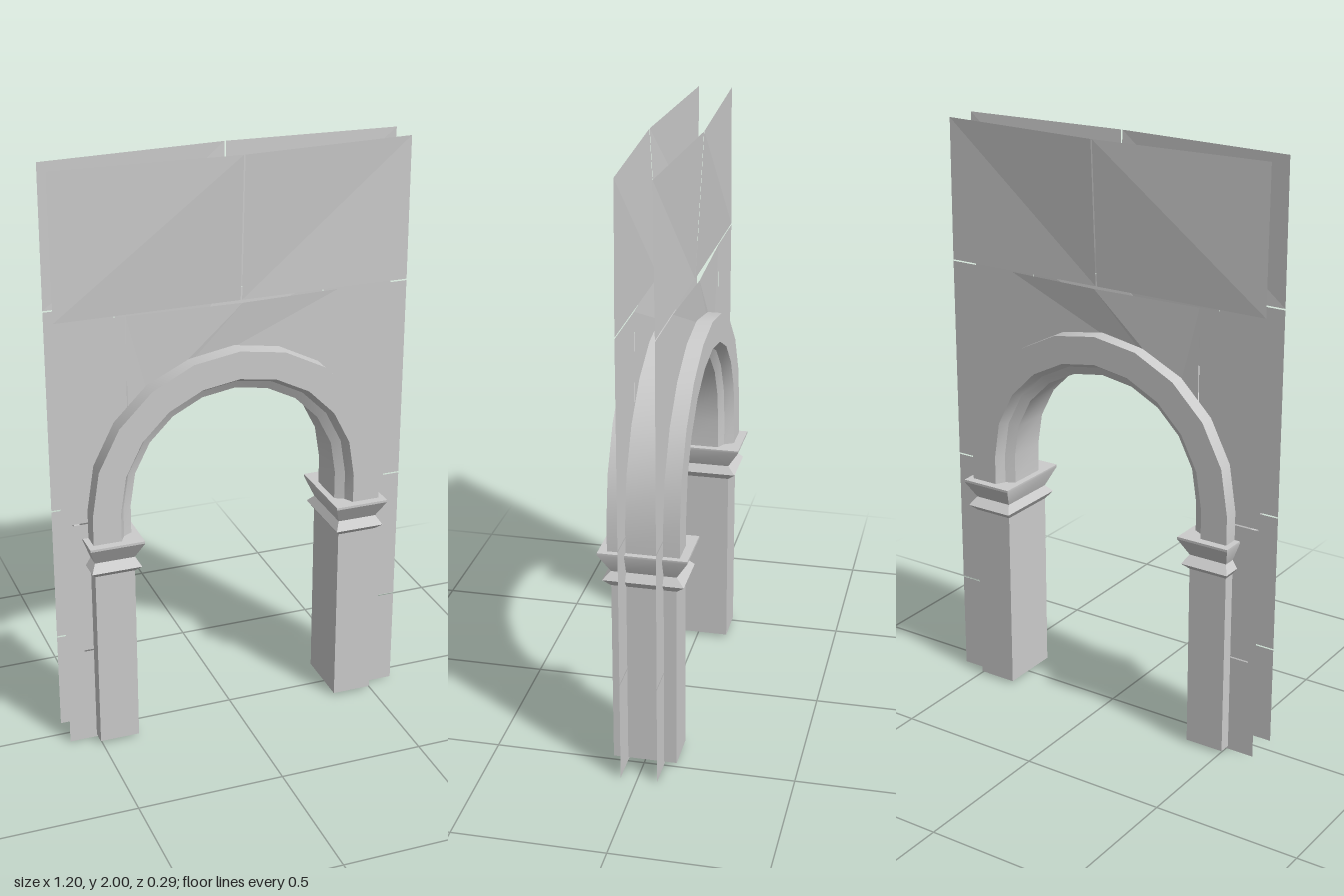
import * as THREE from 'three';
import { toCreasedNormals } from 'three/addons/utils/BufferGeometryUtils.js';

const material = new THREE.MeshStandardMaterial({ color: 0xcccccc, side: THREE.DoubleSide });
const CX = -0.006;   // axis of the arch and pillars
const CY = 0.865;    // centre height of the arch curve
const CZ = -0.002;

function addMesh(parent, geometry, name) {
  const mesh = new THREE.Mesh(geometry, material);
  mesh.name = name;
  parent.add(mesh);
  return mesh;
}

// Skin a list of closed cross-sections, keeping sharp corners
function loft(sections, crease = 0.4) {
  const n = sections[0].length;
  const index = [];
  for (let i = 0; i < sections.length - 1; i++) {
    for (let j = 0; j < n; j++) {
      const a = i * n + j, b = i * n + (j + 1) % n;
      index.push(a, b, b + n, a, b + n, a + n);
    }
  }
  const geometry = new THREE.BufferGeometry();
  geometry.setAttribute('position', new THREE.Float32BufferAttribute(sections.flat(2), 3));
  geometry.setIndex(index);
  return toCreasedNormals(geometry, crease);
}

// Square pillar with bead and flared capital
function pillarGeometry() {
  const levels = [ // y, half width, half depth
    [0.01, 0.068, 0.106], [0.645, 0.068, 0.106], [0.668, 0.085, 0.132],
    [0.695, 0.068, 0.106], [0.758, 0.0925, 0.145], [0.766, 0.0925, 0.145], [0.766, 0, 0],
  ];
  return loft(levels.map(([y, w, d]) => [[-w, y, d], [w, y, d], [w, y, -d], [-w, y, -d]]));
}

// Stilted round arch with a stepped, chamfered inner edge
function archGeometry() {
  const half = [[0.362, 0.068], [0.392, 0.085], [0.41, 0.117], [0.505, 0.117]];
  const profile = [...half, ...half.map(([r, z]) => [r, -z]).reverse()];
  const stations = [[0, 0.76]];
  const segments = 10;
  for (let i = 0; i <= segments; i++) stations.push([Math.PI * i / segments, CY]);
  stations.push([Math.PI, 0.76]);
  return loft(stations.map(([t, y]) =>
    profile.map(([r, z]) => [r * Math.cos(t), y + r * Math.sin(t), z])), 0.5);
}

// Flat outline whose points are pushed out by a depth rule
function panelGeometry(points, depth) {
  const shape = new THREE.Shape(points.map(([x, y]) => new THREE.Vector2(x, y)));
  const geometry = new THREE.ShapeGeometry(shape).toNonIndexed();
  const p = geometry.attributes.position;
  for (let i = 0; i < p.count; i++) p.setZ(i, depth(p.getX(i), p.getY(i)));
  geometry.computeVertexNormals();
  return geometry;
}

// Points along the wall opening, hidden behind the arch ring
function openingArc(from, to, steps) {
  const points = [];
  for (let i = 0; i <= steps; i++) {
    const t = from + (to - from) * i / steps;
    points.push([CX + 0.46 * Math.cos(t), CY + 0.46 * Math.sin(t)]);
  }
  return points;
}

function createWall(name, baseZ, sign) {
  const wall = new THREE.Group();
  wall.name = name;
  const gap = 0.0025, seam = 0.02, edge = 0.6, top = 2, mid = 1.518;
  const flat = () => baseZ;

  // Upper slabs lean outwards where they meet at the top
  const lean = (x, y) => {
    if (y < 1.8) return baseZ;
    return baseZ + sign * (Math.abs(x - seam) < 0.05 ? 0.026 : -0.004);
  };
  for (const s of [-1, 1]) {
    const inner = seam + s * gap, outer = s * edge;
    addMesh(wall, panelGeometry(
      [[inner, mid + gap], [outer, mid + gap], [outer, top], [inner, top]], lean), 'upperSlab');
  }

  // Slab over the arch, its top edge bulging at the middle
  const bulge = (x, y) => baseZ + (Math.abs(x - seam) < 0.05 && y > 1.5 ? sign * 0.014 : 0);
  const split = Math.acos(0.36 / 0.46);
  const arc = openingArc(split, Math.PI - split, 8);
  const right = arc[0][0], left = arc[arc.length - 1][0];
  addMesh(wall, panelGeometry(
    [...arc, [left, mid - gap], [seam, mid - gap], [right, mid - gap]], bulge), 'archSlab');

  // Side slabs in three courses
  for (const s of [-1, 1]) {
    const outer = s * edge, jamb = CX + s * 0.43;
    const haunch = s > 0 ? openingArc(0, split, 4) : openingArc(Math.PI, Math.PI - split, 4);
    const inner = haunch[haunch.length - 1][0] + s * gap;
    haunch[haunch.length - 1][0] = inner;
    addMesh(wall, panelGeometry([[CX + s * 0.46, 0.82 + gap], ...haunch,
      [inner, mid - gap], [outer, mid - gap], [outer, 0.82 + gap]], flat), 'haunchSlab');
    for (const [y0, y1] of [[0.345 + gap, 0.82 - gap], [0, 0.345 - gap]]) {
      addMesh(wall, panelGeometry([[jamb, y0], [outer, y0], [outer, y1], [jamb, y1]], flat), 'jambSlab');
    }
  }
  return wall;
}

export function createModel() {
  const model = new THREE.Group();
  model.name = 'archway';

  const arch = addMesh(model, archGeometry(), 'archRing');
  arch.position.set(CX, 0, CZ);

  const pillar = pillarGeometry();
  for (const s of [-1, 1]) {
    const mesh = addMesh(model, pillar, s > 0 ? 'leftPillar' : 'rightPillar');
    mesh.position.set(CX + s * 0.432, 0, CZ);
  }

  model.add(createWall('frontWall', 0.055, 1));
  model.add(createWall('backWall', -0.066, -1));
  return model;
}
